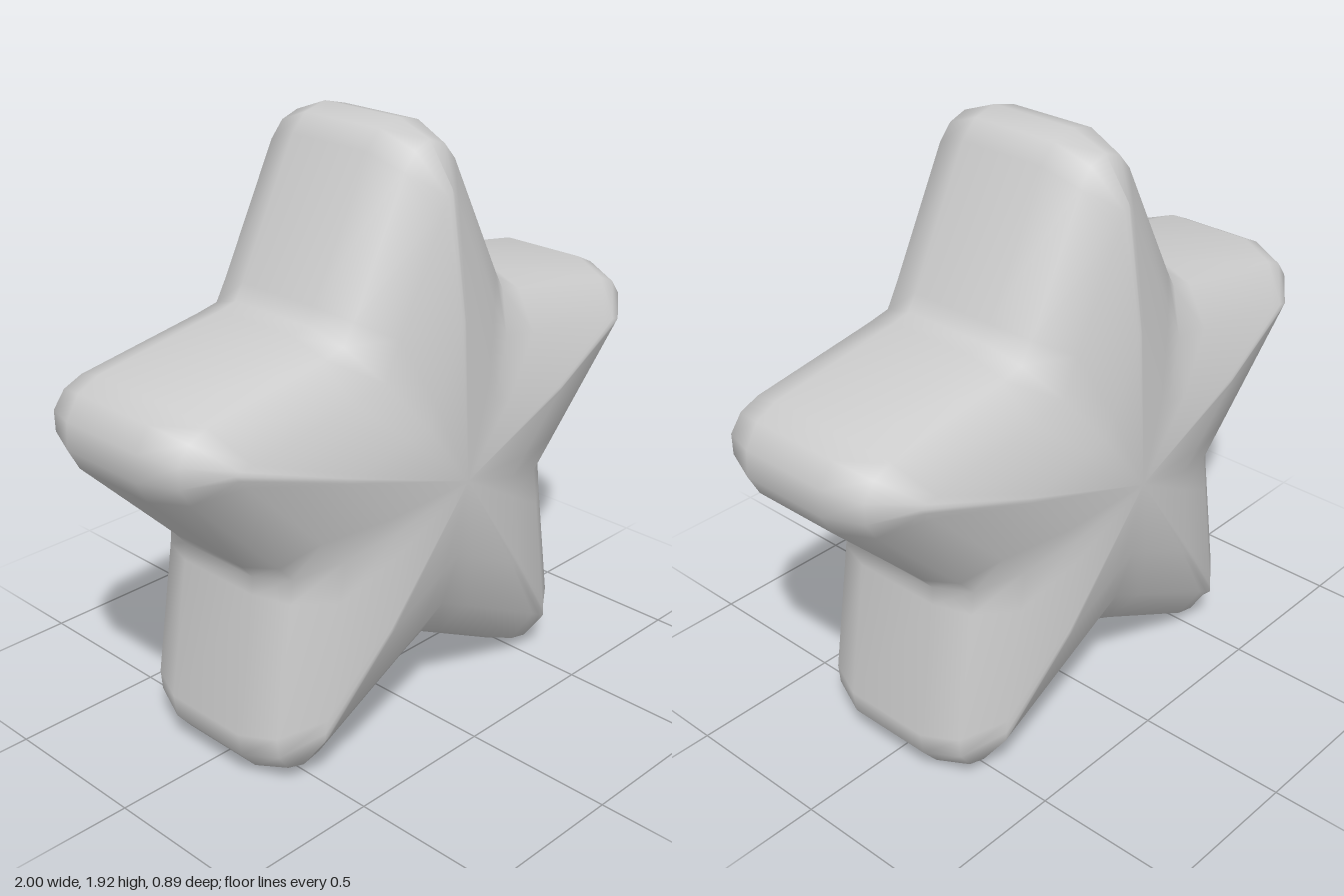
import * as THREE from 'three';

const CENTER_Y = 0.877;
const ARMS = 5;

// Half an arm from tip to valley: full outline, and the inset outline of the face
const OUTER = [[0, 1.046], [0.08, 1.026], [0.134, 0.97], [0.342, 0.564], [0.373, 0.514]];
const INNER = [[0, 0.88], [0.013, 0.855], [0.032, 0.818], [0.205, 0.481], [0.265, 0.364]];

// Rings from front to back: [z, inset 0..1, scale toward the centre]
const FRONT = [[0.415, 1, 0.57], [0.355, 1, 1], [0.27, 0.27, 1], [0.15, 0, 1]];
const RINGS = [...FRONT, ...[...FRONT].reverse().map(([z, inset, s]) => [-z, inset, s])];

// Whole star outline, running clockwise from the top tip
function starOutline(inset, scale) {
  const half = OUTER.map(([x, y], i) => [
    THREE.MathUtils.lerp(x, INNER[i][0], inset) * scale,
    THREE.MathUtils.lerp(y, INNER[i][1], inset) * scale,
  ]);
  const points = [];
  const add = ([x, y], turn) => {
    const c = Math.cos(turn), s = Math.sin(turn);
    points.push([x * c + y * s, y * c - x * s]);
  };
  for (let k = 0; k < ARMS; k++) {
    const turn = (k * 2 * Math.PI) / ARMS;
    const next = ((k + 1) * 2 * Math.PI) / ARMS;
    half.forEach((p) => add(p, turn));
    for (let i = 3; i > 0; i--) add([-half[i][0], half[i][1]], next);
  }
  return points;
}

// Skin the rings and close both faces with a raised centre point
function starGeometry() {
  const positions = [], index = [];
  let n = 0;
  for (const [z, inset, scale] of RINGS) {
    const outline = starOutline(inset, scale);
    n = outline.length;
    outline.forEach(([x, y]) => positions.push(x, y, z));
  }
  const front = RINGS.length * n, back = front + 1;
  positions.push(0, 0, 0.445, 0, 0, -0.445);
  const last = (RINGS.length - 1) * n;
  for (let j = 0; j < n; j++) {
    const k = (j + 1) % n;
    index.push(front, k, j, back, last + j, last + k);
    for (let r = 0; r < last; r += n) {
      index.push(r + j, r + k, r + n + j, r + k, r + n + k, r + n + j);
    }
  }
  const geometry = new THREE.BufferGeometry();
  geometry.setAttribute('position', new THREE.Float32BufferAttribute(positions, 3));
  geometry.setIndex(index);
  geometry.computeVertexNormals();
  return geometry;
}

export function createModel() {
  const group = new THREE.Group();
  group.name = 'puffyStar';
  const grey = new THREE.MeshStandardMaterial({ color: 0xcccccc });
  grey.name = 'light grey';
  const star = new THREE.Mesh(starGeometry(), grey);
  star.name = 'starBody';
  star.position.y = CENTER_Y;
  group.add(star);
  return group;
}
